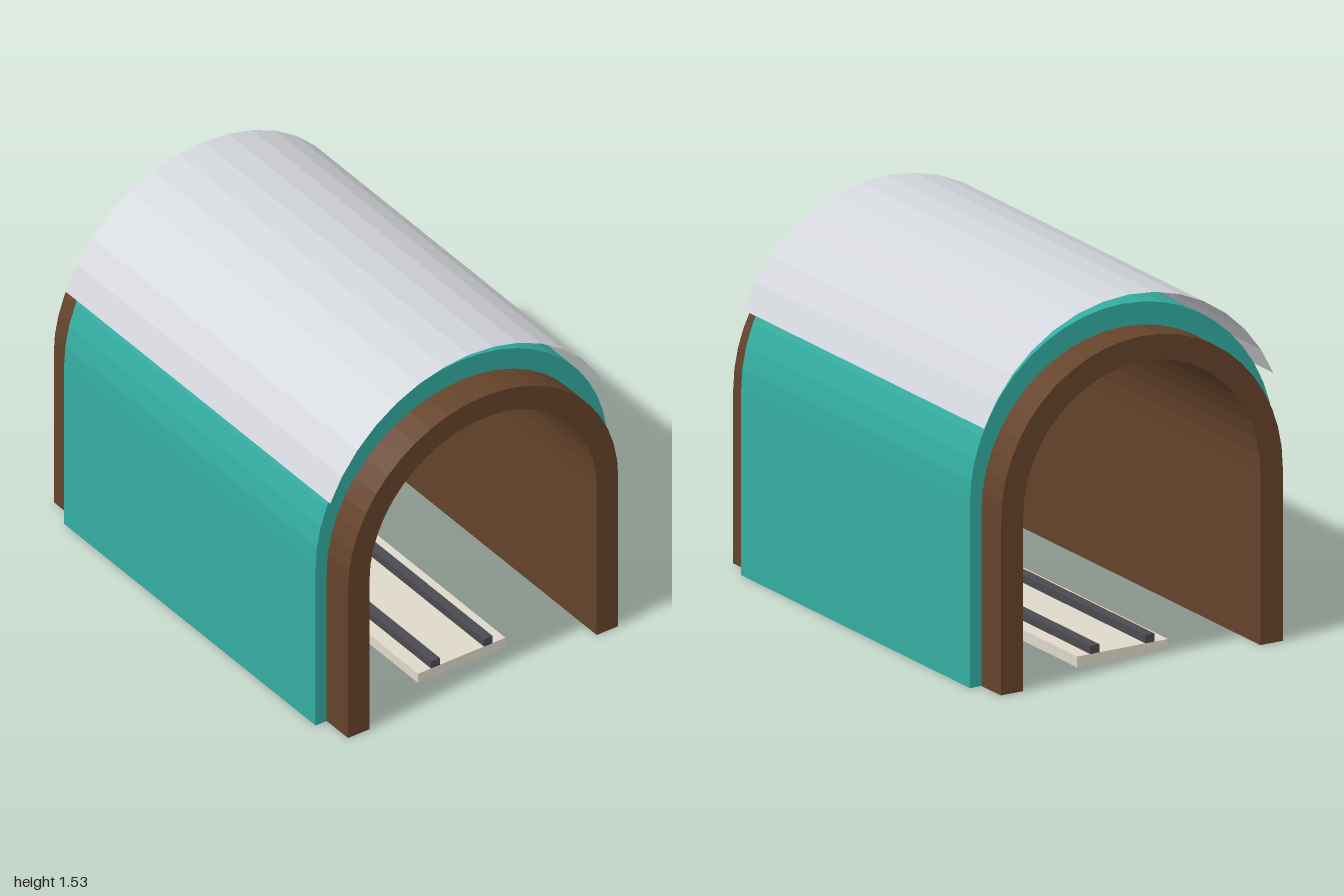
import * as THREE from 'three';

const mat = (color, extra = {}) => new THREE.MeshStandardMaterial({ color, ...extra });

// Arch cross-section: straight legs with round tops, spring lines at yOut and yIn
function archShape(rOut, yOut, rIn, yIn) {
  const s = new THREE.Shape();
  s.moveTo(rOut, 0);
  s.lineTo(rOut, yOut);
  s.absarc(0, yOut, rOut, 0, Math.PI, false);
  s.lineTo(-rOut, 0);
  s.lineTo(-rIn, 0);
  s.lineTo(-rIn, yIn);
  s.absarc(0, yIn, rIn, Math.PI, 0, true);
  s.lineTo(rIn, 0);
  s.closePath();
  return s;
}

export function createModel() {
  const group = new THREE.Group();
  const brown = mat(0x65432b);
  const teal = mat(0x33ada1);
  const steel = mat(0xd2d5da, { side: THREE.DoubleSide, flatShading: true });
  const cream = mat(0xddd8c8);
  const dark = mat(0x4a4a50);

  const add = (name, geometry, material, x = 0, y = 0, z = 0) => {
    const mesh = new THREE.Mesh(geometry, material);
    mesh.name = name;
    mesh.position.set(x, y, z);
    group.add(mesh);
  };
  const extrude = (shape, depth) =>
    new THREE.ExtrudeGeometry(shape, { depth, bevelEnabled: false, curveSegments: 12 });

  const half = 0.855; // half length of the main shell
  const spring = 0.725;

  // Brown portals at both ends
  const portal = extrude(archShape(0.66, spring, 0.555, spring), 1 - half);
  add('frontPortal', portal, brown, 0, 0, half);
  add('backPortal', portal, brown, 0, 0, -1);

  // Thin inner lining and the thick outer shell
  add('lining', extrude(archShape(0.565, spring, 0.555, spring), 2 * half), brown, 0, 0, -half);
  add('shell', extrude(archShape(0.714, 0.766, 0.565, spring), 2 * half), teal, 0, 0, -half);

  // Curved sheet roof
  const a = THREE.MathUtils.degToRad(66.5);
  const roof = new THREE.CylinderGeometry(0.738, 0.738, 1.805, 14, 1, true, Math.PI - a, 2 * a);
  roof.rotateX(Math.PI / 2);
  add('roof', roof, steel, 0, 0.794, 0);

  // Track bed with two rails
  add('trackBed', new THREE.BoxGeometry(0.426, 0.045, 1.71), cream, 0, 0.0225, 0);
  for (const side of [-1, 1]) {
    add(side > 0 ? 'leftRail' : 'rightRail',
      new THREE.BoxGeometry(0.043, 0.035, 1.71), dark, side * 0.129, 0.0615, 0);
  }
  return group;
}
